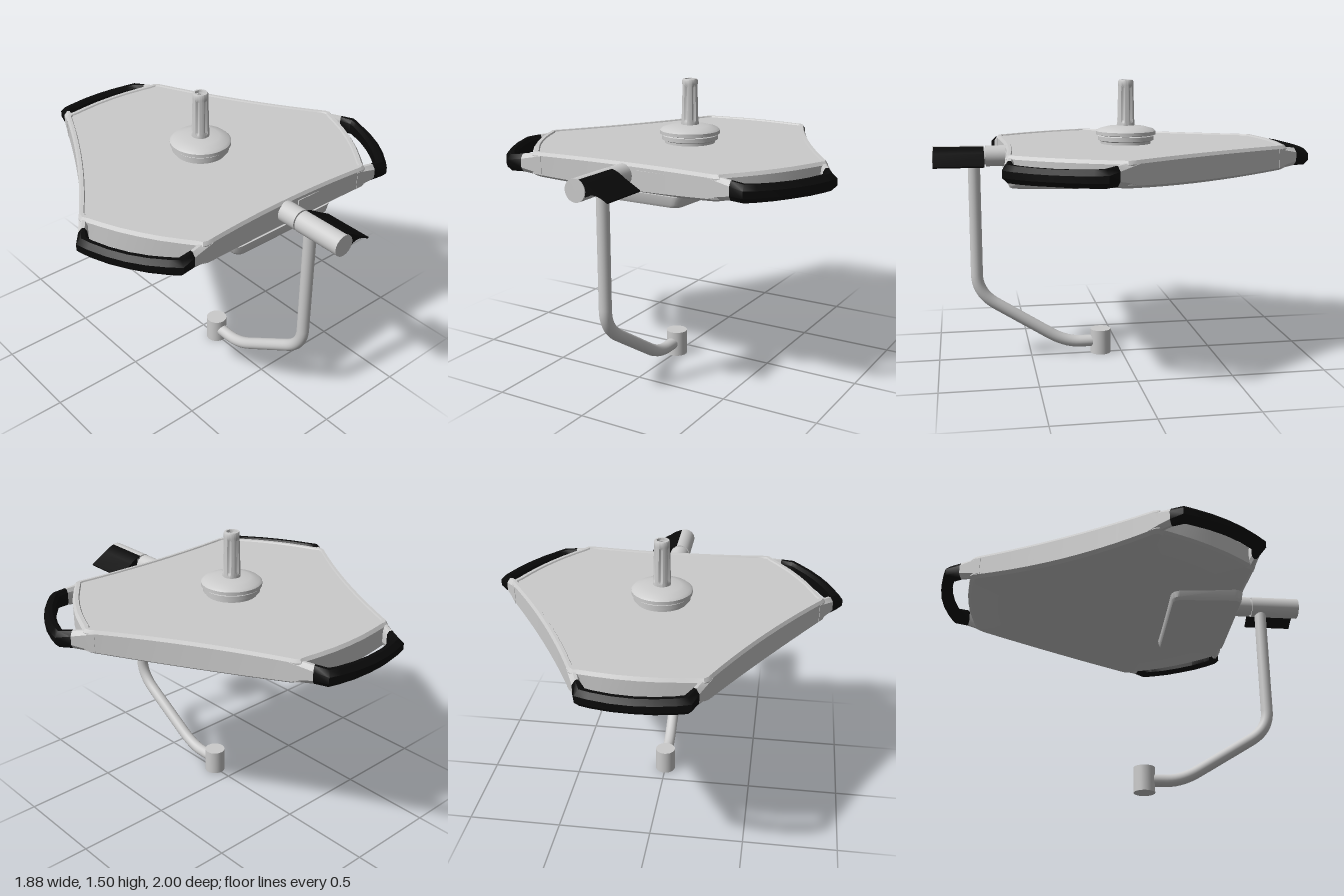
import * as THREE from 'three';
import { toCreasedNormals } from 'three/addons/utils/BufferGeometryUtils.js';

const grey = new THREE.MeshStandardMaterial({ color: 0xcccccc });
const black = new THREE.MeshStandardMaterial({ color: 0x0a0a0a });
const V = (x, y, z) => new THREE.Vector3(x, y, z);
const UP = V(0, 1, 0);
const CENTRE_Z = -0.025;

function add(parent, name, geometry, material = grey, x = 0, y = 0, z = 0) {
  const mesh = new THREE.Mesh(geometry, material);
  mesh.name = name;
  mesh.position.set(x, y, z);
  parent.add(mesh);
  return mesh;
}

// Skin a list of closed rings and cap both ends
function loft(rings, crease = 0.5) {
  const pos = [];
  const tri = (...pts) => pts.forEach((p) => pos.push(p.x, p.y, p.z));
  const n = rings[0].length;
  const middle = (ring) => ring.reduce((s, p) => s.add(p), V(0, 0, 0)).divideScalar(n);
  const first = rings[0], last = rings[rings.length - 1];
  const c0 = middle(first), c1 = middle(last);
  for (let j = 0; j < n; j++) {
    const k = (j + 1) % n;
    for (let i = 0; i < rings.length - 1; i++) {
      const a = rings[i], b = rings[i + 1];
      tri(a[j], a[k], b[k]);
      tri(a[j], b[k], b[j]);
    }
    tri(c0, first[k], first[j]);
    tri(c1, last[j], last[k]);
  }
  const g = new THREE.BufferGeometry();
  g.setAttribute('position', new THREE.Float32BufferAttribute(pos, 3));
  return toCreasedNormals(g, crease);
}

// Point on the concave side of the head, t along it, in the frame of the rear lobe
function edge(t, inset = 0) {
  const d = 0.645 + 0.045 * (t / 0.68) ** 2 - inset;
  return V(-0.5 * t + 0.866 * d, 0, -(0.866 * t + 0.5 * d));
}
const flip = (p) => V(-p.x, p.y, p.z);

// Three-lobed plan outline, counter-clockwise from above
function headOutline() {
  const half = [0, 0.1, 0.2, 0.3, 0.4, 0.48, 0.515].map((t) => edge(t));
  half.push(V(0.305, 0, -0.8), V(0.275, 0, -0.8), V(0.2, 0, -0.811), V(0.1, 0, -0.822));
  const lobe = [...half, V(0, 0, -0.825), ...half.slice(1).reverse().map(flip)];
  return [0, 1, 2].flatMap((k) =>
    lobe.map((p) => p.clone().applyAxisAngle(UP, (k * Math.PI * 2) / 3)));
}

function headBody() {
  const outline = headOutline();
  const dome = (p) => 1.0 + 0.065 * p.lengthSq();
  const ring = (s, yRule) => outline.map((p) => {
    const q = p.clone().multiplyScalar(s);
    q.y = yRule(q);
    return q;
  });
  const flat = (y) => () => y;
  return loft([
    ring(0.05, dome), ring(0.35, dome), ring(0.65, dome), ring(0.97, dome),
    ring(1, (p) => dome(p) + 0.012), ring(1, flat(1.155)),
    ring(0.985, flat(1.172)), ring(0.962, flat(1.172)), ring(0.956, flat(1.165)),
  ], 0.45);
}

// Handle section between an inner and outer plan point
function section(outer, inner, y, h, lip = 0.4) {
  return [[1, lip], [1, -lip], [0.6, -1], [0.25, -1], [0, -0.6], [0, 0.6], [0.25, 1], [0.6, 1]]
    .map(([f, v]) => {
      const p = inner.clone().lerp(outer, f);
      p.y = y + v * h;
      return p;
    });
}

function gripHandle() {
  const g = new THREE.Group();
  g.name = 'gripHandle';
  const mirrorRing = (r) => r.map(flip);
  const arm = [
    section(edge(0.48, -0.002), edge(0.48, 0.06), 1.105, 0.058, 0.85),
    section(edge(0.54, -0.001), edge(0.54, 0.045), 1.108, 0.053, 0.65),
    section(edge(0.6), edge(0.6, 0.042), 1.108, 0.046, 0.5),
  ];
  const rise = [
    arm[2],
    section(V(0.264, 0, -0.934), V(0.218, 0, -0.888), 1.103, 0.043),
    section(V(0.2, 0, -0.951), V(0.18, 0, -0.897), 1.101, 0.042),
    section(V(0.1, 0, -0.969), V(0.095, 0, -0.911), 1.1, 0.041),
  ];
  const mid = section(V(0, 0, -0.975), V(0, 0, -0.916), 1.1, 0.04);
  add(g, 'handleArmLeft', loft(arm));
  add(g, 'handleArmRight', loft([...arm].reverse().map(mirrorRing)));
  add(g, 'handleGrip', loft([...rise, mid, ...[...rise].reverse().map(mirrorRing)], 0.7), black);
  return g;
}

// Rounded rectangle ring for the housing below the head
function roundedRing(hx, z0, z1, r, yRule) {
  const pts = [];
  const corners = [[hx - r, z0 + r], [-hx + r, z0 + r], [-hx + r, z1 - r], [hx - r, z1 - r]];
  corners.forEach(([cx, cz], q) => {
    for (let i = 0; i <= 4; i++) {
      const a = (q + i / 4) * Math.PI / 2;
      const z = cz - r * Math.sin(a);
      pts.push(V(cx + r * Math.cos(a), yRule(z), z));
    }
  });
  return pts;
}

// Fluted hollow post
function postGeometry() {
  const profile = [[0.047, 1.25], [0.047, 1.275], [0.046, 1.29], [0.041, 1.46], [0.041, 1.475],
    [0.041, 1.495], [0.037, 1.503], [0.027, 1.503], [0.025, 1.49], [0.016, 1.49], [0.016, 1.43], [0, 1.43]];
  const g = new THREE.LatheGeometry(profile.map(([r, y]) => new THREE.Vector2(r, y)), 48);
  const p = g.attributes.position;
  for (let i = 0; i < p.count; i++) {
    const y = p.getY(i);
    if (y < 1.28 || y > 1.465 || Math.hypot(p.getX(i), p.getZ(i)) < 0.03) continue;
    const s = 1 - 0.2 * Math.max(0, Math.cos(6 * Math.atan2(p.getX(i), p.getZ(i))));
    p.setX(i, p.getX(i) * s);
    p.setZ(i, p.getZ(i) * s);
  }
  return toCreasedNormals(g.toNonIndexed(), 0.6);
}

export function createModel() {
  const model = new THREE.Group();
  model.name = 'ceilingLamp';

  // Head with three grips
  const head = new THREE.Group();
  head.name = 'head';
  head.position.z = CENTRE_Z;
  model.add(head);
  add(head, 'headBody', headBody());
  for (let k = 0; k < 3; k++) {
    const grip = gripHandle();
    grip.rotation.y = (k * Math.PI * 2) / 3;
    head.add(grip);
  }

  // Mount on top
  const mount = [[0, 1.16], [0.135, 1.16], [0.135, 1.178], [0.15, 1.184], [0.15, 1.206], [0.144, 1.21],
    [0.16, 1.214], [0.16, 1.232], [0.148, 1.243], [0.1, 1.256], [0.045, 1.262], [0, 1.262]]
    .map(([r, y]) => new THREE.Vector2(r, y));
  add(head, 'mountDisc', toCreasedNormals(new THREE.LatheGeometry(mount, 40).toNonIndexed(), 0.5));
  add(head, 'mountPost', postGeometry());
  add(head, 'postBore', new THREE.CylinderGeometry(0.015, 0.015, 0.005, 20), black, 0, 1.433, 0);

  // Housing below the front edge
  const slope = (y) => (z) => y + (z - 0.25) * 0.03;
  add(model, 'lowerHousing', loft([
    roundedRing(0.285, 0.275, 0.595, 0.03, slope(0.964)),
    roundedRing(0.305, 0.25, 0.615, 0.04, slope(0.968)),
    roundedRing(0.318, 0.242, 0.622, 0.045, slope(0.982)),
    roundedRing(0.332, 0.235, 0.627, 0.05, () => 1.035),
  ]));
  add(model, 'frontPanel', new THREE.BoxGeometry(0.17, 0.08, 0.012), grey, 0.165, 1.1, 0.62);

  // Front joint and its paddle
  const barrel = (z0, z1, r) =>
    new THREE.CylinderGeometry(r, r, z1 - z0, 32).rotateX(Math.PI / 2).translate(0, 1.11, (z0 + z1) / 2);
  add(model, 'jointCollar', barrel(0.58, 0.725, 0.055));
  add(model, 'jointNeck', barrel(0.72, 0.745, 0.045));
  add(model, 'jointBarrel', barrel(0.735, 1.0, 0.056));
  const paddle = new THREE.Shape();
  paddle.moveTo(0.02, 1.163);
  paddle.quadraticCurveTo(0.055, 1.155, 0.09, 1.128);
  paddle.lineTo(0.178, 1.078);
  paddle.lineTo(0.174, 1.07);
  paddle.quadraticCurveTo(0.1, 1.12, 0.055, 1.085);
  paddle.lineTo(0.03, 1.11);
  add(model, 'paddle', toCreasedNormals(
    new THREE.ExtrudeGeometry(paddle, { depth: 0.26, bevelEnabled: false, curveSegments: 8 }), 0.5),
  black, 0, 0, 0.735);

  // Hanging bent arm with end cylinder
  const P = (y, z) => V(0, y, z);
  const path = new THREE.CurvePath();
  path.add(new THREE.LineCurve3(P(1.08, 0.787), P(0.47, 0.787)));
  path.add(new THREE.QuadraticBezierCurve3(P(0.47, 0.787), P(0.365, 0.787), P(0.3, 0.68)));
  path.add(new THREE.LineCurve3(P(0.3, 0.68), P(0.124, 0.4)));
  path.add(new THREE.QuadraticBezierCurve3(P(0.124, 0.4), P(0.068, 0.31), P(0.068, 0.23)));
  path.add(new THREE.LineCurve3(P(0.068, 0.23), P(0.068, 0.12)));
  add(model, 'hangingArm', new THREE.TubeGeometry(path, 64, 0.032, 20));
  add(model, 'endCylinder', new THREE.CylinderGeometry(0.056, 0.056, 0.135, 32), grey, 0, 0.0675, 0.117);

  return model;
}
